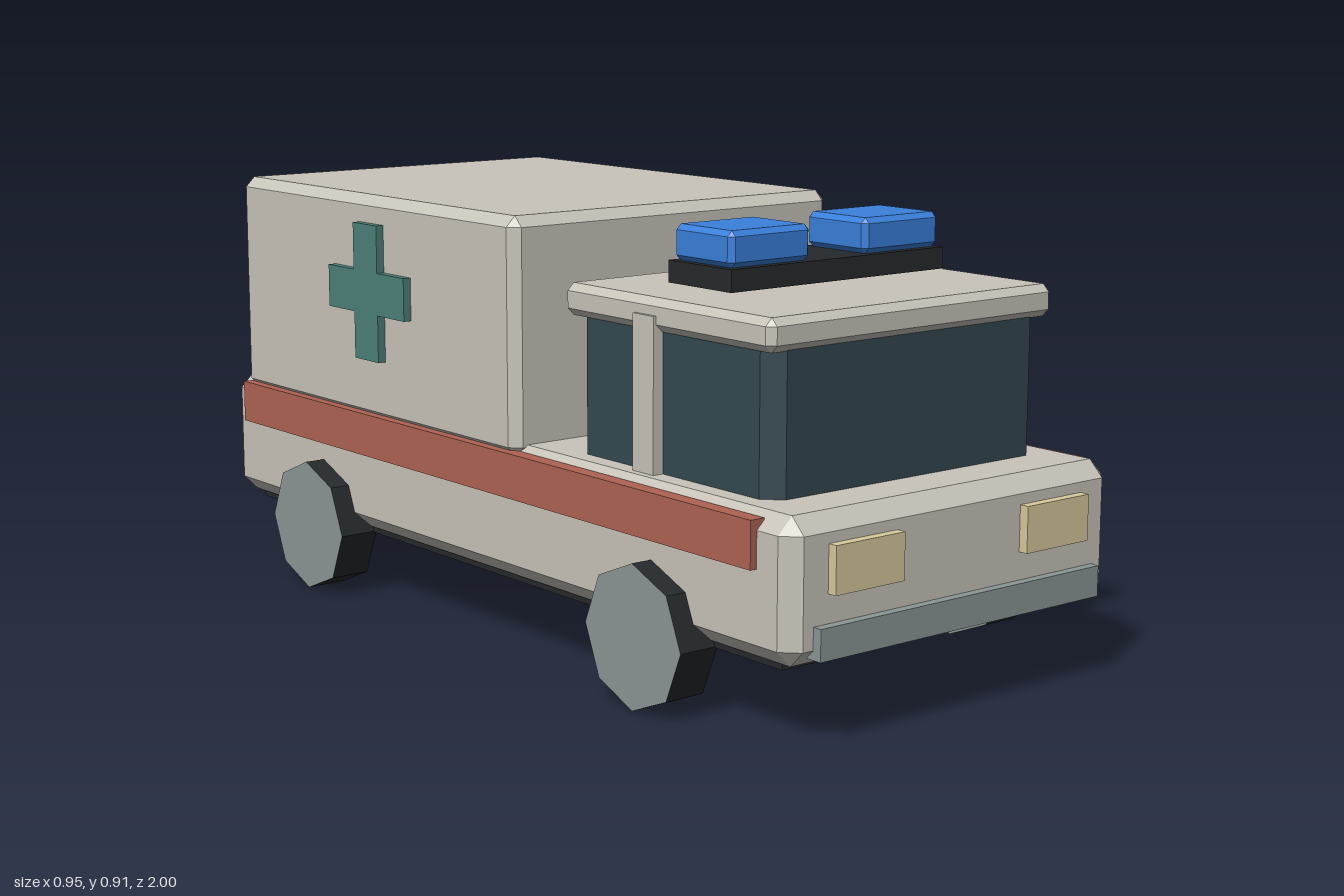
import * as THREE from 'three';
import { ConvexGeometry } from 'three/addons/geometries/ConvexGeometry.js';

const paint = (color) => new THREE.MeshStandardMaterial({ color, flatShading: true });
const mats = {
  body: paint(0xc8c4ba), glass: paint(0x344850), dark: paint(0x26292b), blue: paint(0x3a80dc),
  stripe: paint(0xad6352), cross: paint(0x4c8079), metal: paint(0x8b9695),
  lamp: paint(0xd8ca9c), red: paint(0xa82e32),
};

// Box with every edge chamfered by b: four points on each of the six faces
function chamferBox(w, h, d, b) {
  const half = [w / 2, h / 2, d / 2], points = [];
  for (let axis = 0; axis < 3; axis++)
    for (const sx of [-1, 1]) for (const sy of [-1, 1]) for (const sz of [-1, 1]) {
      const p = [sx, sy, sz].map((s, i) => s * (half[i] - (i === axis ? 0 : b)));
      points.push(new THREE.Vector3(...p));
    }
  return new ConvexGeometry(points);
}

export function createModel() {
  const model = new THREE.Group();
  model.name = 'ambulance';

  // Adds a block given its extents on x, y and z, with optional chamfer
  const block = (name, mat, [x0, x1], [y0, y1], [z0, z1], bevel = 0) => {
    const size = [x1 - x0, y1 - y0, z1 - z0];
    const geo = bevel ? chamferBox(...size, bevel) : new THREE.BoxGeometry(...size);
    const mesh = new THREE.Mesh(geo, mats[mat]);
    mesh.position.set((x0 + x1) / 2, (y0 + y1) / 2, (z0 + z1) / 2);
    mesh.name = name;
    model.add(mesh);
  };
  // Adds a block on the left side and its mirror on the right
  const pair = (name, mat, [x0, x1], y, z, bevel) => {
    block(name + 'Left', mat, [x0, x1], y, z, bevel);
    block(name + 'Right', mat, [-x1, -x0], y, z, bevel);
  };

  // Hull
  block('chassis', 'dark', [-0.39, 0.39], [0.143, 0.2], [-0.92, 0.92]);
  block('lowerBody', 'body', [-0.428, 0.428], [0.157, 0.437], [-0.98, 0.98], 0.033);
  block('rearCompartment', 'body', [-0.428, 0.428], [0.41, 0.902], [-0.922, 0.148], 0.022);

  // Cab
  block('cabGlass', 'glass', [-0.355, 0.355], [0.38, 0.755], [0.26, 0.847], 0.035);
  block('cabRoof', 'body', [-0.372, 0.372], [0.713, 0.778], [0.24, 0.86], 0.015);
  pair('doorPillar', 'body', [0.33, 0.379], [0.42, 0.745], [0.47, 0.533]);

  // Beacons
  block('beaconBar', 'dark', [-0.28, 0.28], [0.793, 0.837], [0.457, 0.643]);
  pair('beacon', 'blue', [0.07, 0.275], [0.837, 0.908], [0.464, 0.636], 0.011);

  // Side markings
  pair('sideStripe', 'stripe', [0.41, 0.443], [0.332, 0.425], [-0.91, 0.89]);
  const arm = 0.148, thick = 0.046;
  const crossShape = new THREE.Shape([
    [-thick, -arm], [thick, -arm], [thick, -thick], [arm, -thick], [arm, thick], [thick, thick],
    [thick, arm], [-thick, arm], [-thick, thick], [-arm, thick], [-arm, -thick], [-thick, -thick],
  ].map(([x, y]) => new THREE.Vector2(x, y)));
  const crossGeo = new THREE.ExtrudeGeometry(crossShape, { depth: 0.035, bevelEnabled: false });
  for (const side of [1, -1]) {
    const cross = new THREE.Mesh(crossGeo, mats.cross);
    cross.rotation.y = side * Math.PI / 2;
    cross.position.set(side * 0.411, 0.695, -0.37);
    cross.name = side > 0 ? 'crossLeft' : 'crossRight';
    model.add(cross);
  }

  // Front and rear fittings
  pair('headlight', 'lamp', [0.163, 0.335], [0.29, 0.383], [0.95, 1]);
  block('frontBumper', 'metal', [-0.37, 0.37], [0.172, 0.234], [0.94, 1]);
  pair('tailLight', 'red', [0.205, 0.347], [0.285, 0.37], [-1, -0.95]);
  block('rearBumper', 'metal', [-0.37, 0.37], [0.172, 0.234], [-1, -0.94]);
  pair('rearWindow', 'glass', [0.063, 0.335], [0.66, 0.836], [-0.945, -0.9]);
  block('rearDoorSeam', 'metal', [-0.014, 0.014], [0.42, 0.852], [-0.94, -0.9]);

  // Eight-sided wheels with dark treads and grey faces
  const wheelGeo = new THREE.CylinderGeometry(0.145, 0.145, 0.09, 8);
  wheelGeo.rotateZ(Math.PI / 2);
  for (const side of [1, -1]) for (const end of [1, -1]) {
    const wheel = new THREE.Mesh(wheelGeo, [mats.dark, mats.metal, mats.metal]);
    wheel.position.set(side * 0.429, 0.145, end * 0.587);
    wheel.name = (end > 0 ? 'front' : 'rear') + 'Wheel' + (side > 0 ? 'Left' : 'Right');
    model.add(wheel);
  }
  return model;
}
